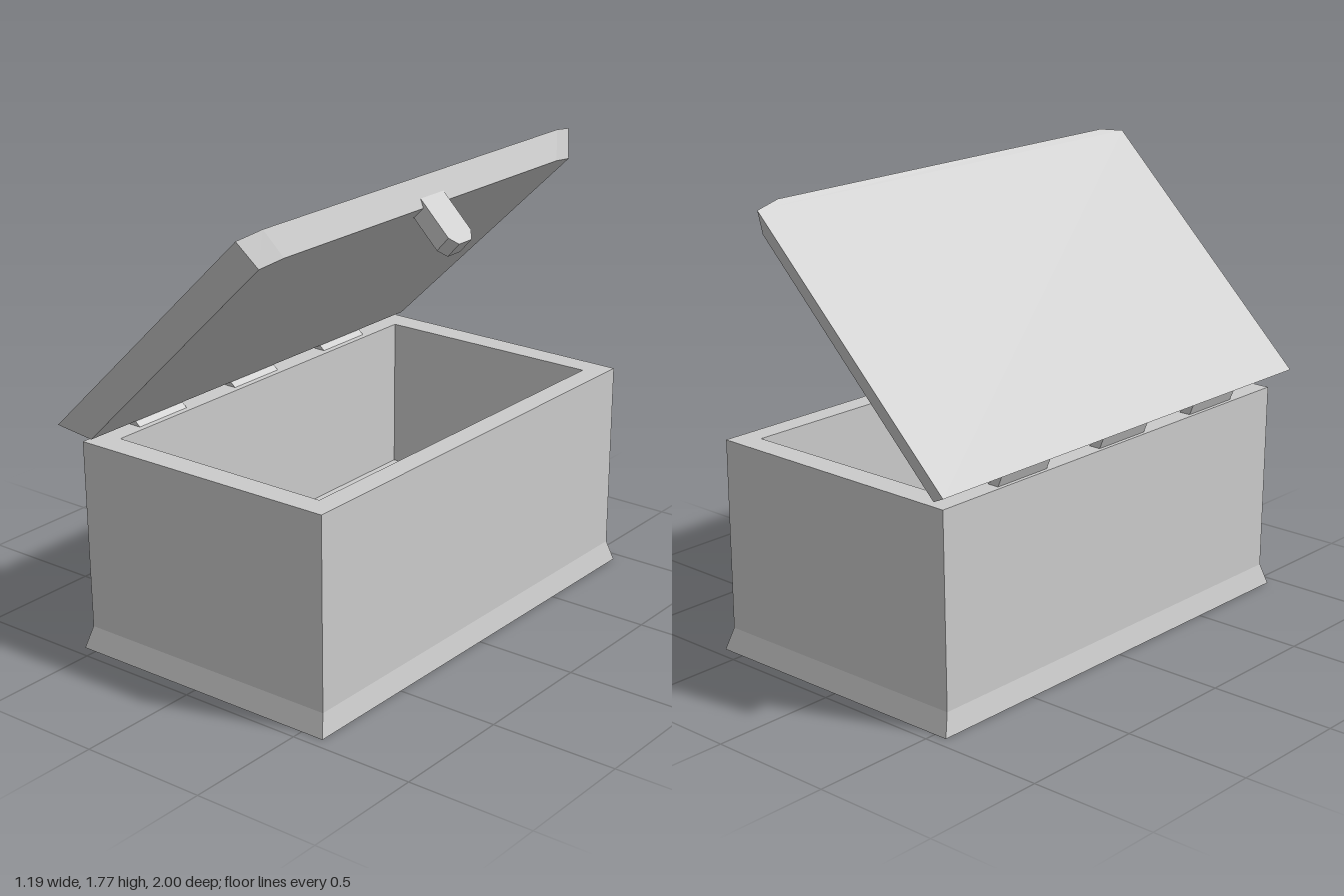
import * as THREE from 'three';
import { ConvexGeometry } from 'three/addons/geometries/ConvexGeometry.js';

const material = new THREE.MeshStandardMaterial({ color: 0xcccccc, flatShading: true });

function addMesh(parent, name, geometry) {
  const mesh = new THREE.Mesh(geometry, material);
  mesh.name = name;
  parent.add(mesh);
  return mesh;
}

// Four corners at one height, counter-clockwise from above; depth may differ front and back.
function ring(y, xMin, xMax, zBack, zFront = zBack) {
  return [[xMax, y, zFront], [xMax, y, -zFront], [xMin, y, -zBack], [xMin, y, zBack]];
}

// Skin a series of rings, closing the first and the last.
function skin(rings) {
  const positions = [];
  const quad = (a, b, c, d) => positions.push(...a, ...b, ...c, ...a, ...c, ...d);
  quad(...[...rings[0]].reverse());
  for (let r = 0; r + 1 < rings.length; r++) {
    for (let i = 0; i < 4; i++) {
      const j = (i + 1) % 4;
      quad(rings[r][i], rings[r][j], rings[r + 1][j], rings[r + 1][i]);
    }
  }
  quad(...rings[rings.length - 1]);
  const geometry = new THREE.BufferGeometry();
  geometry.setAttribute('position', new THREE.Float32BufferAttribute(positions, 3));
  geometry.computeVertexNormals();
  return geometry;
}

// Convex solid from [x, y, z] points.
const hull = (points) => new ConvexGeometry(points.map((p) => new THREE.Vector3(...p)));

export function createModel() {
  const chest = new THREE.Group();
  chest.name = 'chest';

  // Hollow box with a flared foot
  addMesh(chest, 'box', skin([
    ring(0, -0.553, 0.593, 0.955),
    ring(0.085, -0.533, 0.573, 0.926),
    ring(0.835, -0.533, 0.573, 0.938, 0.928),
    ring(0.835, -0.445, 0.487, 0.833),
    ring(0.22, -0.445, 0.487, 0.833),
  ]));

  // Open lid: bevelled slab with clipped corners along its free edge
  const lidPoints = [];
  for (const s of [1, -1]) {
    lidPoints.push(
      [-0.593, 0.905, s], [0.277, 1.753, s], [0.297, 1.772, s * 0.885], // outer face
      [-0.49, 0.853, s * 0.938], [0.322, 1.65, s * 0.938], [0.338, 1.666, s * 0.826], // inner face
    );
  }
  addMesh(chest, 'lid', hull(lidPoints));

  // Hinges between box and lid
  const hingeProfile = [[-0.535, 0.876], [-0.49, 0.853], [-0.467, 0.833], [-0.517, 0.833]];
  for (const z of [0.575, 0.037, -0.515]) {
    const points = hingeProfile.flatMap(([x, y]) => [[x, y, z - 0.129], [x, y, z + 0.129]]);
    addMesh(chest, 'hinge', hull(points));
  }

  // Latch: tab with a clipped tip, hanging off the lid edge
  const latchPoints = [];
  for (const [dx, dy] of [[0, 0], [-0.05, -0.056]]) {
    for (const s of [1, -1]) {
      latchPoints.push(
        [0.325 + dx, 1.7 + dy, -0.025 + s * 0.07],
        [0.45 + dx, 1.575 + dy, -0.025 + s * 0.07],
        [0.475 + dx, 1.55 + dy, -0.025 + s * 0.038],
      );
    }
  }
  addMesh(chest, 'latch', hull(latchPoints));

  return chest;
}
